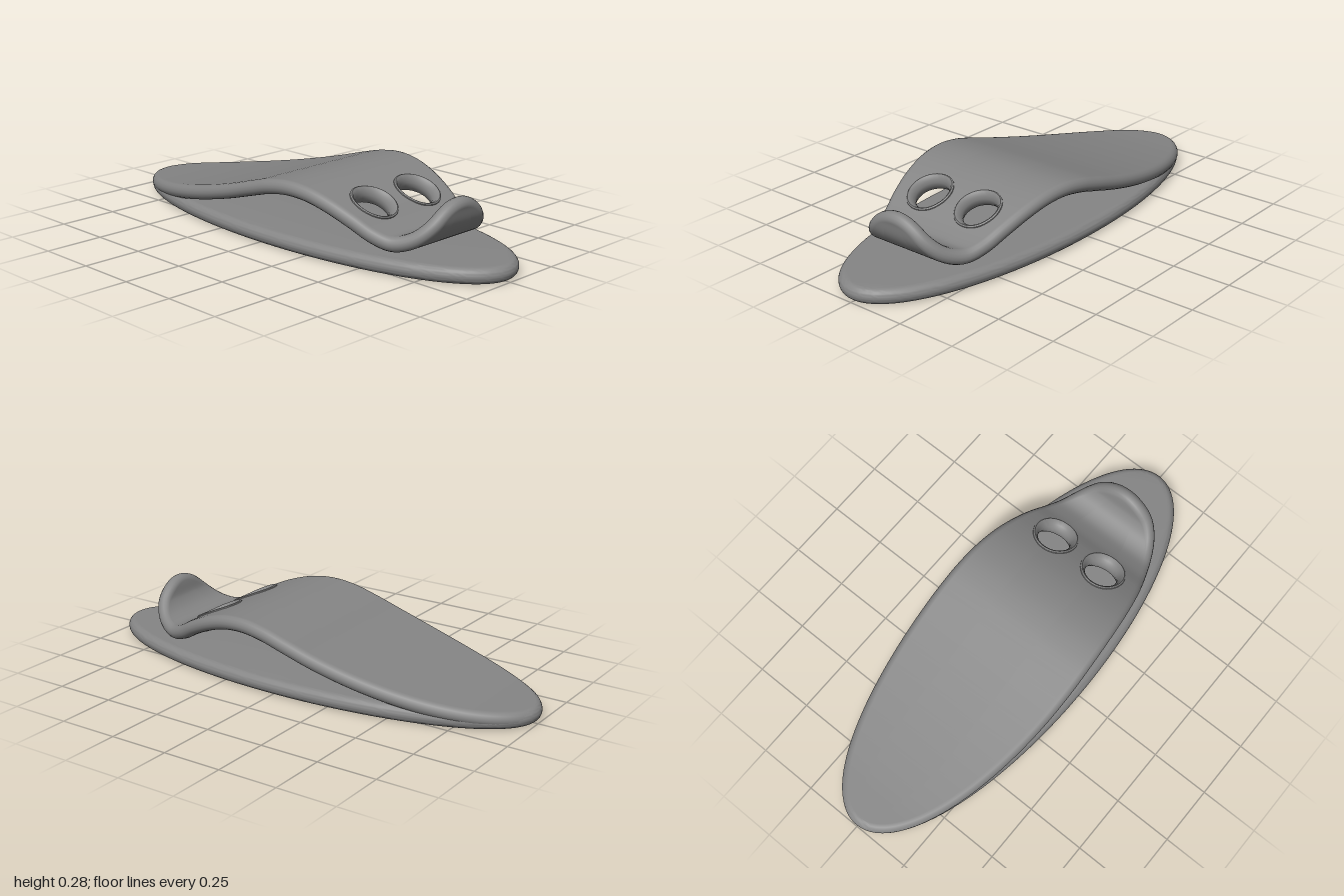
import * as THREE from 'three';
import { toCreasedNormals } from 'three/addons/utils/BufferGeometryUtils.js';

const R = 0.031;                      // half thickness of both plates
const HALF_W = 0.354 - R;             // half width up to the rounded edge
const HOLE_X = 0.125, HOLE_R = 0.095; // hole centre and opening in the plate

// Side profile of the bent plate, as [z, y] along its middle
const profile = new THREE.CatmullRomCurve3([
  [-0.968, 0.034], [-0.8, 0.05], [-0.6, 0.08], [-0.4, 0.12], [-0.2, 0.17],
  [-0.05, 0.214], [0.05, 0.241], [0.15, 0.254], [0.25, 0.246], [0.35, 0.217],
  [0.45, 0.172], [0.53, 0.128], [0.605, 0.106], [0.68, 0.13], [0.728, 0.182], [0.745, 0.246],
].map(([z, y]) => new THREE.Vector3(0, y, z)));
profile.arcLengthDivisions = 600;
const LENGTH = profile.getLength();

// Point on the bent plate: x across, u along, offset by height h
function bend(x, u, h = 0) {
  const t = profile.getTangentAt(u);
  const p = profile.getPointAt(u);
  return p.set(x, p.y + t.z * h, p.z - t.y * h);
}

// Bent ellipse that the rounded edge follows
class EdgeCurve extends THREE.Curve {
  getPoint(t, target = new THREE.Vector3()) {
    const a = t * Math.PI * 2;
    const u = THREE.MathUtils.clamp((1 + Math.sin(a)) / 2, 0, 1);
    return target.copy(bend(HALF_W * Math.cos(a), u));
  }
}

// Strip of surface between two side lines, on the top (+1) or underside (-1)
function strip(stations, left, right, side) {
  const pos = [], idx = [];
  stations.forEach((u, i) => {
    pos.push(...bend(left(u), u, side * R).toArray(), ...bend(right(u), u, side * R).toArray());
    if (i === 0) return;
    const a = 2 * i - 2, b = a + 1, c = a + 2, d = a + 3;
    if (side > 0) idx.push(a, c, b, b, c, d);
    else idx.push(a, b, c, b, d, c);
  });
  const g = new THREE.BufferGeometry();
  g.setAttribute('position', new THREE.Float32BufferAttribute(pos, 3));
  g.setIndex(idx);
  g.computeVertexNormals();
  return g;
}

// Raised rim and flared wall of a hole, bent along with the plate
function rimGeometry(x, u) {
  const half = [[0.071, 0.008], [0.076, 0.02], [0.084, R + 0.003],
    [0.091, R + 0.007], [0.097, R + 0.004], [0.099, R - 0.008]];
  const mirrored = half.map(([r, y]) => [r, -y]).reverse();
  const section = [...mirrored, ...half].map(([r, y]) => new THREE.Vector2(r, y));
  // Reversed so that the wall faces the hole axis
  const g = new THREE.LatheGeometry(section.reverse(), 48);
  const p = g.attributes.position;
  for (let i = 0; i < p.count; i++) {
    const v = bend(x + p.getX(i), u + p.getZ(i) / LENGTH, p.getY(i));
    p.setXYZ(i, v.x, v.y, v.z);
  }
  return toCreasedNormals(g, 0.9);
}

export function createModel() {
  const model = new THREE.Group();
  const material = new THREE.MeshStandardMaterial({ color: 0x858585 });
  const add = (parent, name, geometry) => {
    const mesh = new THREE.Mesh(geometry, material);
    mesh.name = name;
    parent.add(mesh);
  };

  // Flat oval base with a fully rounded edge
  const oval = new THREE.Shape().absellipse(0, 0, HALF_W, 1 - R, 0, Math.PI * 2);
  const baseGeo = new THREE.ExtrudeGeometry(oval, {
    depth: 0.002, bevelSize: R, bevelThickness: R, bevelSegments: 8, curveSegments: 96,
  });
  baseGeo.rotateX(-Math.PI / 2).translate(0, R + 0.001, 0);
  add(model, 'base', toCreasedNormals(baseGeo, 0.6));

  // Bent clip plate, with its widest part halfway along
  const clip = new THREE.Group();
  clip.name = 'clip';
  model.add(clip);

  let holeU = 0.5;
  while (profile.getPointAt(holeU).z < 0.415) holeU += 0.0005;

  // Stations are denser at the ends and across the holes
  const stations = [];
  for (let i = 0; i <= 110; i++) {
    stations.push(THREE.MathUtils.clamp((1 - Math.cos(Math.PI * i / 110)) / 2, 0.0005, 0.9995));
  }
  for (let i = 0; i <= 32; i++) stations.push(holeU - Math.cos(Math.PI * i / 32) * HOLE_R / LENGTH);
  stations.sort((a, b) => a - b);

  // Each half width is split at the hole line, which opens around the hole
  const width = (u) => HALF_W * Math.sqrt(Math.max(0, 1 - (2 * u - 1) ** 2));
  const line = (u) => Math.min(HOLE_X, width(u) / 2);
  const gap = (u) => Math.sqrt(Math.max(0, HOLE_R ** 2 - ((u - holeU) * LENGTH) ** 2));
  const outer = (u) => line(u) + gap(u), inner = (u) => line(u) - gap(u);
  const neg = (f) => (u) => -f(u);
  for (const side of [1, -1]) {
    const name = side > 0 ? 'clipTop' : 'clipUnderside';
    add(clip, name + 'Right', strip(stations, neg(width), neg(outer), side));
    add(clip, name + 'Middle', strip(stations, neg(inner), inner, side));
    add(clip, name + 'Left', strip(stations, outer, width, side));
  }

  // Rounded edge all around the plate
  add(clip, 'clipEdge', new THREE.TubeGeometry(new EdgeCurve(), 240, R, 16, true));

  // Rims of the two holes
  add(clip, 'holeRimLeft', rimGeometry(HOLE_X, holeU));
  add(clip, 'holeRimRight', rimGeometry(-HOLE_X, holeU));
  return model;
}
